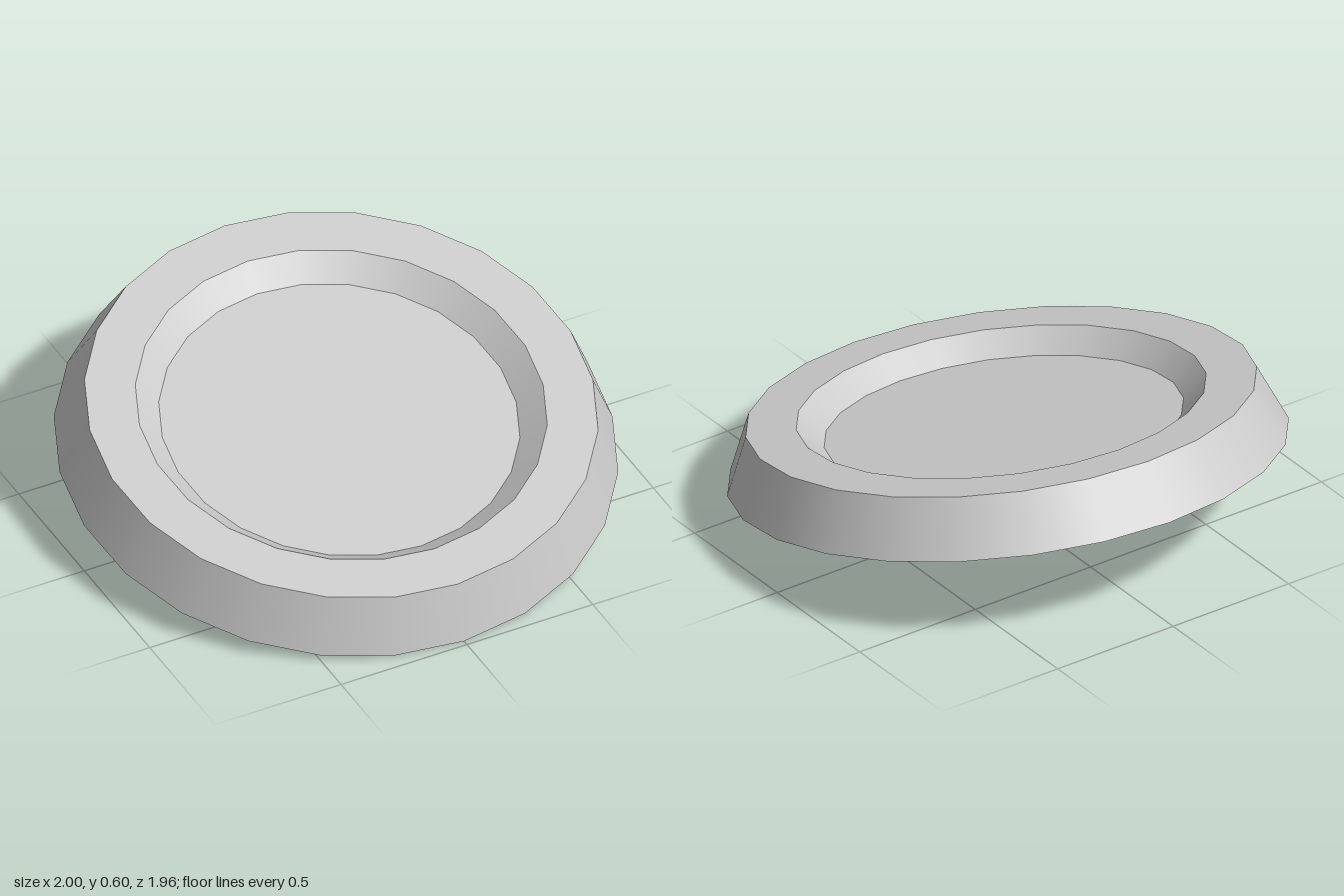
import * as THREE from 'three';

const SEGMENTS = 24;

export function createModel() {
  const model = new THREE.Group();
  const material = new THREE.MeshStandardMaterial({ color: 0xcccccc, side: THREE.DoubleSide });

  // Each band is its own lathe, so edges between bands stay sharp
  // name, start radius, start height, end radius, end height
  const bands = [
    ['outerWall', 1, 0, 0.91, 0.21],
    ['topRim', 0.91, 0.21, 0.73, 0.21],
    ['recessWall', 0.73, 0.21, 0.64, 0.13],
    ['recessFloor', 0.64, 0.13, 0, 0.13],
  ];

  const dish = new THREE.Group();
  dish.name = 'tiltedDish';
  for (const [name, r0, y0, r1, y1] of bands) {
    const profile = [new THREE.Vector2(r0, y0), new THREE.Vector2(r1, y1)];
    const mesh = new THREE.Mesh(new THREE.LatheGeometry(profile, SEGMENTS), material);
    mesh.name = name;
    dish.add(mesh);
  }

  // Back raised, with a very slight roll; the front edge rests on the ground
  const tilt = THREE.MathUtils.degToRad(12);
  dish.rotation.set(tilt, 0, 0.008);
  dish.position.y = Math.sin(tilt);
  model.add(dish);
  return model;
}
